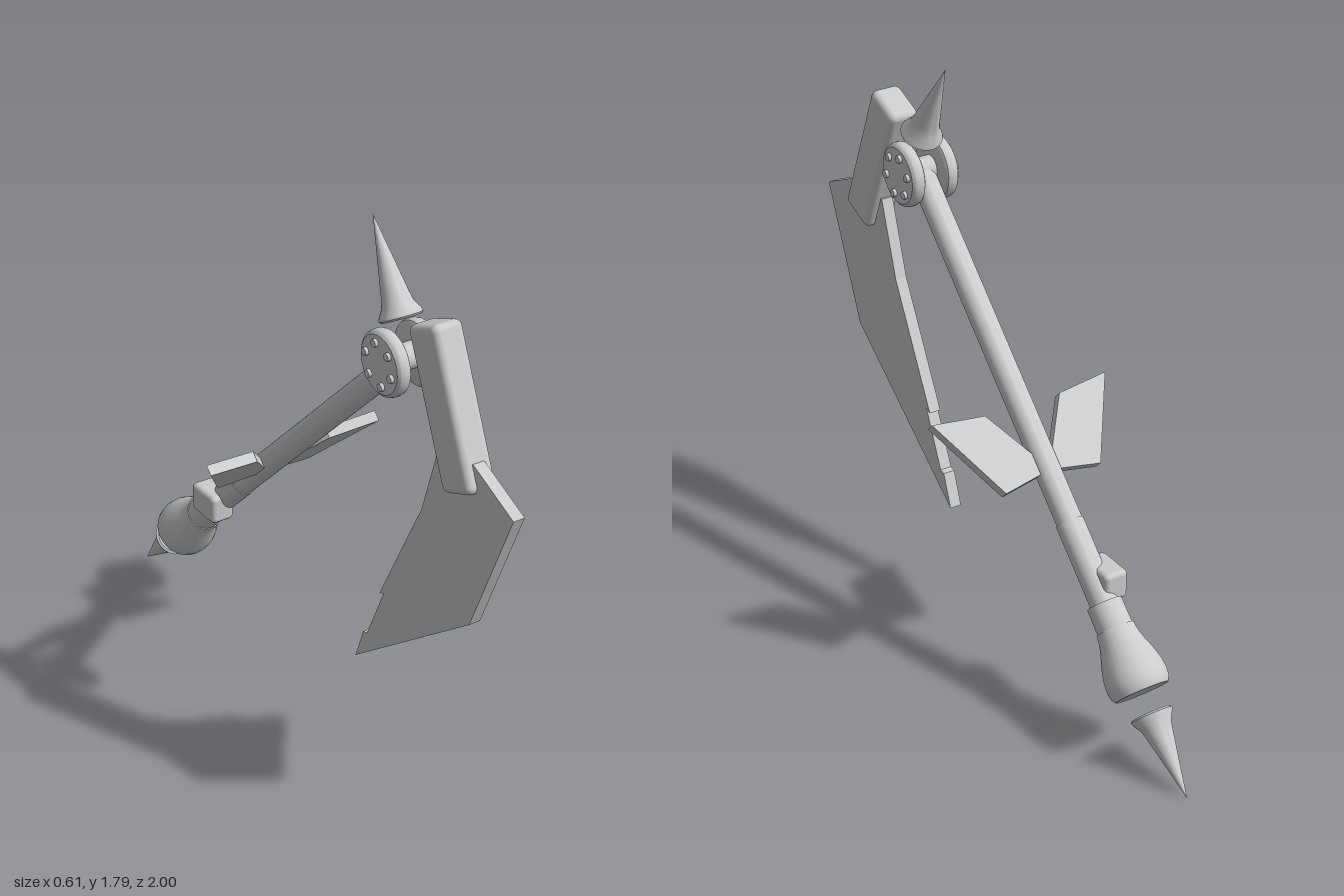
import * as THREE from 'three';
import { toCreasedNormals } from 'three/addons/utils/BufferGeometryUtils.js';
import { RoundedBoxGeometry } from 'three/addons/geometries/RoundedBoxGeometry.js';

export function createModel() {
  const steel = new THREE.MeshStandardMaterial({ color: 0xcccccc });
  steel.name = 'steel grey';

  const add = (parent, name, geometry) => {
    const mesh = new THREE.Mesh(geometry, steel);
    mesh.name = name;
    parent.add(mesh);
    return mesh;
  };
  // Turned part from [radius, height] pairs, listed from low to high
  const turned = (points, sides = 32) => toCreasedNormals(
    new THREE.LatheGeometry(points.map(([r, y]) => new THREE.Vector2(r, y)), sides), 0.6);
  // Flat plate from an outline, centred on its thickness
  const plate = (points, depth) => {
    const shape = new THREE.Shape(points.map(([x, y]) => new THREE.Vector2(x, y)));
    return new THREE.ExtrudeGeometry(shape, { depth, bevelEnabled: false })
      .translate(0, 0, -depth / 2);
  };
  // Flared spike that starts at height y
  const spike = (y, length) => turned([
    [0, y], [0.058, y], [0.065, y + 0.006], [0.061, y + 0.016],
    [0.047, y + 0.04], [0.04, y + 0.07], [0, y + length]]);

  const model = new THREE.Group();
  model.name = 'poleWeapon';
  model.position.x = 0.01;
  model.rotation.y = 0.105;

  // Shaft assembly: its y axis runs from the hub down to the pommel
  const shaft = new THREE.Group();
  shaft.name = 'shaftAssembly';
  shaft.position.set(0, 1.415, 0.457);
  shaft.rotation.x = Math.atan2(-0.72, -0.694);
  model.add(shaft);
  add(shaft, 'shaft', turned([[0, 0], [0.04, 0], [0.04, 1.45], [0, 1.45]]));
  add(shaft, 'grip', turned([[0, 1.16], [0.043, 1.16], [0.043, 1.45], [0, 1.45]]));
  add(shaft, 'sleeve', turned([[0, 1.42], [0.054, 1.42], [0.055, 1.51], [0, 1.51]]));
  add(shaft, 'bell', turned([
    [0, 1.5], [0.058, 1.5], [0.062, 1.53], [0.071, 1.56], [0.083, 1.595], [0.092, 1.63],
    [0.095, 1.66], [0.092, 1.685], [0.083, 1.7], [0, 1.7]]));
  add(shaft, 'pommelSpike', spike(1.765, 0.265));

  // Pair of side fins
  for (const side of [1, -1]) {
    const outline = [[0.02, 0.96], [0.13, 0.785], [0.303, 0.765], [0.165, 1.025], [0.02, 1.0]];
    add(shaft, side > 0 ? 'leftFin' : 'rightFin',
      plate(outline.map(([x, y]) => [side * x, y]), 0.034));
  }

  // Small block beside the grip
  add(model, 'gripBlock', new RoundedBoxGeometry(0.08, 0.096, 0.13, 3, 0.016))
    .position.set(-0.033, 0.482, -0.517);

  // Hub: two bolted discs joined by a pin
  const hub = new THREE.Group();
  hub.name = 'hub';
  hub.position.set(0, 1.417, 0.455);
  model.add(hub);
  add(hub, 'hubPin', new THREE.CylinderGeometry(0.04, 0.04, 0.1, 24).rotateZ(Math.PI / 2));
  for (const side of [1, -1]) {
    const cheek = new THREE.Group();
    cheek.name = side > 0 ? 'leftCheek' : 'rightCheek';
    cheek.rotation.z = -side * Math.PI / 2;
    hub.add(cheek);
    add(cheek, 'disc', turned([
      [0, 0.035], [0.088, 0.035], [0.097, 0.041], [0.1, 0.05], [0.1, 0.064],
      [0.097, 0.073], [0.088, 0.08], [0, 0.08]], 40));
    for (let i = 0; i < 6; i++) {
      const a = Math.PI / 12 + i * Math.PI / 3;
      add(cheek, 'bolt', new THREE.CylinderGeometry(0.012, 0.013, 0.02, 12))
        .position.set(-side * Math.sin(a) * 0.064, 0.08, -Math.cos(a) * 0.064);
    }
  }

  // Top spike
  const top = add(model, 'topSpike', spike(0, 0.3));
  top.position.set(0, 1.535, 0.447);
  top.rotation.x = -0.505;

  // Blade holder
  const holder = add(model, 'bladeHolder', new RoundedBoxGeometry(0.1, 0.48, 0.138, 4, 0.022));
  holder.position.set(0, 1.369, 0.69);
  holder.rotation.x = -0.39;

  // Blade, with two small notches on its inner edge
  add(model, 'blade', plate([
    [1.003, 1.166], [0.823, 0.738], [0.268, 0.326], [0.307, 0.433], [0.326, 0.437],
    [0.408, 0.62], [0.388, 0.612], [0.585, 0.995], [0.662, 1.24], [0.82, 1.252]], 0.038)
    .rotateY(-Math.PI / 2));

  return model;
}
